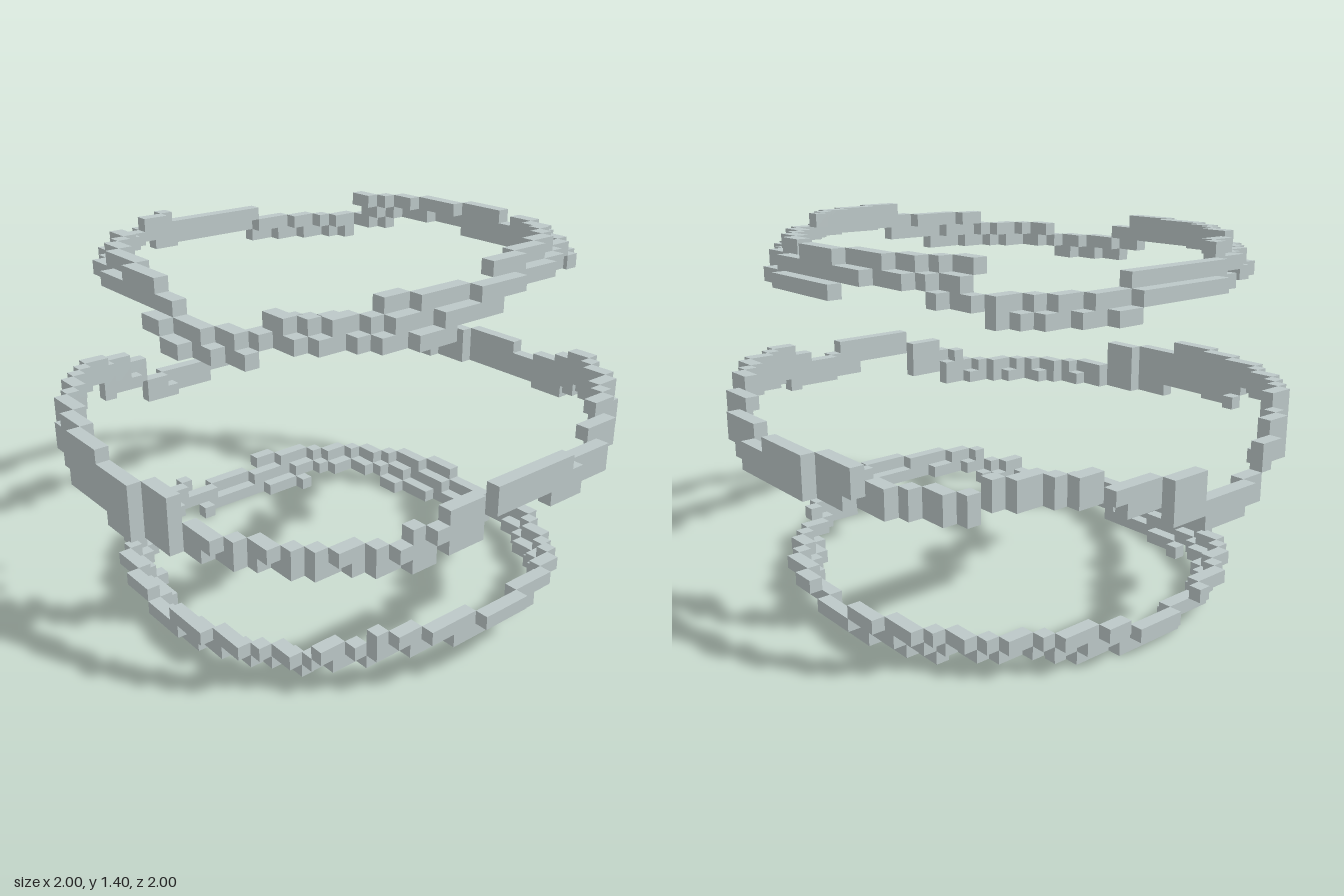
import * as THREE from 'three';
import { mergeGeometries } from 'three/addons/utils/BufferGeometryUtils.js';

const CELL = 0.05;      // block size
const RADIUS = 20;      // sphere radius in blocks
const MID = 14;         // layer height of the sphere centre

// Each band: [start angle in degrees from the front towards +x, lowest layer, highest layer]
const BANDS = {
  lowerRing: [
    [0, 0, 1], [3, 0, 2], [12, 1, 2], [45, 2, 3], [58, 3, 4], [107, 2, 3], [130, 1, 2],
    [170, 0, 1], [188, 0, 2], [215, 1, 2], [242, 0, 2], [258, 0, 1], [285, 1, 2],
    [330, 0, 2], [352, 0, 1],
  ],
  middleRing: [
    [0, 12, 14], [3, 11, 14], [22, 11, 12], [62, 11, 13], [70, 12, 14], [78, 14, 15],
    [93, 13, 15], [99, 13, 14], [113, 13, 15], [118, 14, 16], [152, 13, 15], [160, 12, 14],
    [168, 12, 13], [176, 12, 14], [205, 12, 13], [225, 13, 14], [247, 12, 13], [258, 11, 13],
    [267, 10, 11], [288, 12, 13], [295, 12, 14], [304, 14, 15], [335, 12, 15],
  ],
  upperRing: [
    [0, 25, 26], [7, 24, 25], [13, 23, 24], [35, 24, 25], [60, 24, 26], [75, 25, 26],
    [90, 26, 27], [135, 25, 26], [150, 24, 26], [165, 24, 25], [172, 24, 26], [190, 25, 26],
    [212, 24, 26], [225, 23, 24], [257, 24, 25], [290, 25, 26], [302, 24, 25], [313, 25, 26],
  ],
};

// Is the block centre inside the sphere?
const inside = (x, y, z) => x * x + y * y + z * z < RADIUS * RADIUS;

// Is this block on the circular outline of its layer?
function onOutline(x, y, z) {
  return inside(x, y, z) && !(inside(x + 1, y, z) && inside(x - 1, y, z)
    && inside(x, y, z + 1) && inside(x, y, z - 1));
}

// Does the band cover this layer at the block's angle?
function inBand(band, x, layer, z) {
  const angle = (THREE.MathUtils.radToDeg(Math.atan2(x, z)) + 360) % 360;
  let current = band[0];
  for (const step of band) if (step[0] <= angle) current = step;
  return layer >= current[1] && layer <= current[2];
}

// One wavy ring of blocks, with neighbours along x joined into longer bars
function ringGeometry(band) {
  const bars = [];
  const low = Math.min(...band.map((s) => s[1]));
  const high = Math.max(...band.map((s) => s[2]));
  for (let layer = low; layer <= high; layer++) {
    const y = layer + 0.5 - MID;
    for (let z = -RADIUS + 0.5; z < RADIUS; z++) {
      let run = 0;
      for (let x = -RADIUS + 0.5; x <= RADIUS + 0.5; x++) {
        if (onOutline(x, y, z) && inBand(band, x, layer, z)) {
          run++;
        } else if (run > 0) {
          const bar = new THREE.BoxGeometry(run * CELL, CELL, CELL);
          bar.translate((x - 0.5 - run / 2) * CELL, (layer + 0.5) * CELL, z * CELL);
          bars.push(bar);
          run = 0;
        }
      }
    }
  }
  return mergeGeometries(bars);
}

export function createModel() {
  const group = new THREE.Group();
  group.name = 'blockRings';
  const stone = new THREE.MeshStandardMaterial({ color: 0xbcc8c8 });
  stone.name = 'paleGrey';
  for (const [name, band] of Object.entries(BANDS)) {
    const ring = new THREE.Mesh(ringGeometry(band), stone);
    ring.name = name;
    group.add(ring);
  }
  return group;
}
